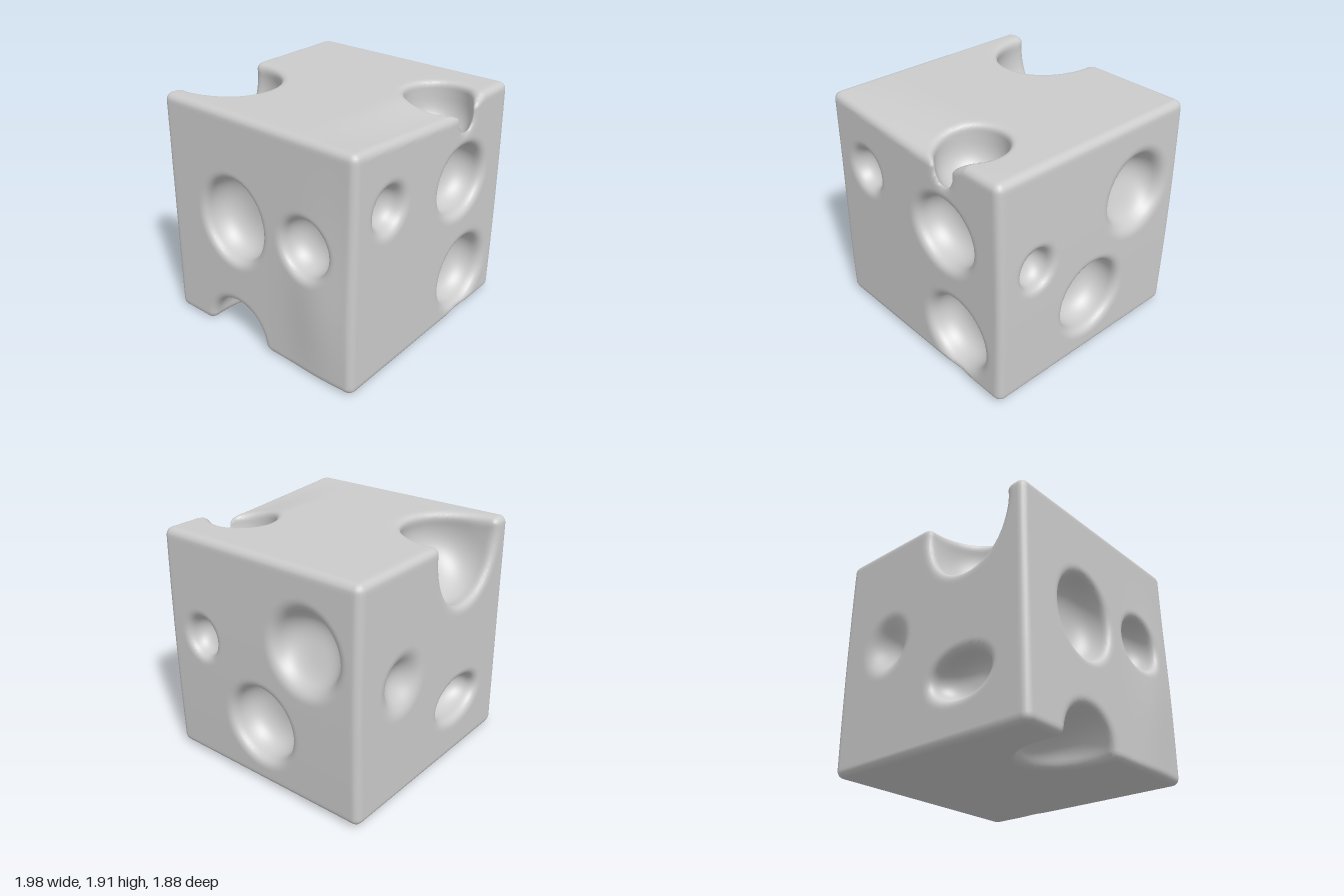
import * as THREE from 'three';

// Directions the flat floors of the holes face
const FRONT = new THREE.Vector3(0, 0, 1);
const BACK = new THREE.Vector3(0, 0, -1);
const SIDE = new THREE.Vector3(1, 0, 0);
const UP = new THREE.Vector3(0, 1, 0);
const SIDE_UP = new THREE.Vector3(0.92, 0.39, 0).normalize();
const BACK_UP = new THREE.Vector3(0, 1, -1).normalize();
const LEFT_DOWN = new THREE.Vector3(-1, -1, 0).normalize();

// Holes: centre x, y, z, radii x, y, z, softness of the rim, floor direction, flatness (2 = round)
const HOLES = [
  // front face
  [-0.55, 1.385, 0.945, 0.165, 0.17, 0.17, 0.08, FRONT, 2.4],
  [0.38, 1.265, 0.92, 0.305, 0.28, 0.26, 0.08, FRONT, 2.8],
  [0.48, 0.395, 0.945, 0.31, 0.31, 0.27, 0.09, FRONT, 2.9],
  // right face (+x)
  [0.965, 1.105, 0.58, 0.16, 0.155, 0.145, 0.07, SIDE_UP, 2.5],
  [0.96, 0.54, -0.01, 0.27, 0.31, 0.3, 0.08, SIDE, 2.8],
  [1.09, 1.33, -0.46, 0.315, 0.315, 0.305, 0.08, SIDE_UP, 3],
  // left face (-x)
  [-0.92, 1.045, -0.24, 0.26, 0.345, 0.305, 0.07, SIDE, 2.6],
  [-0.93, 1.085, 0.49, 0.21, 0.225, 0.22, 0.07, SIDE, 2.4],
  // left bottom edge notch
  [-0.84, 0.02, -0.24, 0.45, 0.28, 0.3, 0.08, LEFT_DOWN, 2.6],
  // back face
  [0.46, 1.0, -0.98, 0.17, 0.18, 0.17, 0.12, BACK, 2],
  [-0.34, 0.515, -0.92, 0.285, 0.175, 0.22, 0.08, BACK, 2.6],
  // top hole breaking through the front edge
  [0.4, 1.81, 0.661, 0.262, 0.265, 0.264, 0.06, UP, 2.7],
  // big scoop at the back top edge
  [-0.37, 1.765, -0.795, 0.4, 0.395, 0.39, 0.09, BACK_UP, 2.8],
];

const smooth = THREE.MathUtils.smoothstep;

// Slightly uneven rounded block
function block(x, y, z) {
  const r = 0.06;
  const bulge = Math.exp(-(((z - 0.62) / 0.25) ** 2) - ((y - 0.65) / 0.6) ** 2);
  const left = -0.938 - 0.026 * (1 - y / 1.92) - 0.038 * bulge;
  const right = 0.973 + 0.014 * Math.sin(Math.PI * THREE.MathUtils.clamp(y / 1.92, 0, 1));
  const sag = 0.08 * smooth(z, 0.45, 0.95) *
    Math.max(0, Math.min((x + 0.9) / 1.05, 1, (0.63 - x) / 0.2));
  const top = 1.92 - sag;
  const bottom = 0.014 + 0.009 * x;
  const qx = Math.abs(x - (left + right) / 2) - (right - left) / 2 + r;
  const qy = Math.abs(y - (top + bottom) / 2) - (top - bottom) / 2 + r;
  const qz = Math.abs(z) - 0.938 + r;
  return Math.hypot(Math.max(qx, 0), Math.max(qy, 0), Math.max(qz, 0)) +
    Math.min(Math.max(qx, qy, qz), 0) - r;
}

// Signed distance: the block with every flat-floored hole softly carved out
function field(x, y, z) {
  let d = block(x, y, z);
  for (const [cx, cy, cz, rx, ry, rz, k, axis, power] of HOLES) {
    const px = (x - cx) / rx, py = (y - cy) / ry, pz = (z - cz) / rz;
    const length = Math.hypot(px, py, pz);
    const along = Math.abs(px * axis.x + py * axis.y + pz * axis.z);
    const across = Math.sqrt(Math.max(length * length - along * along, 0));
    const reach = (along ** power + across ** power) ** (1 / power);
    const slope = Math.hypot(px / rx, py / ry, pz / rz);
    const cut = slope < 1e-6 ? Math.min(rx, ry, rz) : -length * (reach - 1) / slope;
    const h = Math.max(k - Math.abs(d - cut), 0) / k;
    d = Math.max(d, cut) + h * h * k * 0.25;
  }
  return d;
}

function gradient(x, y, z) {
  const e = 0.004;
  return new THREE.Vector3(
    field(x + e, y, z) - field(x - e, y, z),
    field(x, y + e, z) - field(x, y - e, z),
    field(x, y, z + e) - field(x, y, z - e)
  ).divideScalar(2 * e);
}

// Skin of the field: one vertex per crossed cell, one quad per crossed grid edge
function carvedGeometry() {
  const n = 90, step = 2.12 / (n - 1);
  const origin = [-1.06, -0.1, -1.06];
  const stride = [1, n, n * n];
  const values = new Float32Array(n * n * n);
  const at = (i, axis) => origin[axis] + i * step;
  for (let k = 0; k < n; k++)
    for (let j = 0; j < n; j++)
      for (let i = 0; i < n; i++)
        values[i + j * n + k * n * n] = field(at(i, 0), at(j, 1), at(k, 2));

  const cellVertex = new Int32Array(n * n * n).fill(-1);
  const positions = [], normals = [], indices = [];
  const p = new THREE.Vector3();
  for (let k = 0; k < n - 1; k++)
    for (let j = 0; j < n - 1; j++)
      for (let i = 0; i < n - 1; i++) {
        const base = i + j * n + k * n * n;
        let count = 0;
        p.set(0, 0, 0);
        for (let a = 0; a < 3; a++) {
          const b = (a + 1) % 3, c = (a + 2) % 3;
          for (let m = 0; m < 4; m++) {
            const u = m & 1, v = m >> 1;
            const start = base + u * stride[b] + v * stride[c];
            const v0 = values[start], v1 = values[start + stride[a]];
            if ((v0 < 0) === (v1 < 0)) continue;
            const o = [0, 0, 0];
            o[a] = v0 / (v0 - v1);
            o[b] = u;
            o[c] = v;
            p.add(new THREE.Vector3(...o));
            count++;
          }
        }
        if (!count) continue;
        p.divideScalar(count);
        p.set(at(i + p.x, 0), at(j + p.y, 1), at(k + p.z, 2));
        // settle the vertex onto the surface
        const g = gradient(p.x, p.y, p.z);
        const move = -field(p.x, p.y, p.z) / Math.max(g.lengthSq(), 0.3);
        p.addScaledVector(g, THREE.MathUtils.clamp(move, -step / 2, step / 2));
        const normal = gradient(p.x, p.y, p.z).normalize();
        cellVertex[base] = positions.length / 3;
        positions.push(p.x, p.y, p.z);
        normals.push(normal.x, normal.y, normal.z);
      }

  for (let k = 1; k < n - 1; k++)
    for (let j = 1; j < n - 1; j++)
      for (let i = 1; i < n - 1; i++) {
        const base = i + j * n + k * n * n;
        for (let a = 0; a < 3; a++) {
          const inside = values[base] < 0;
          if (inside === values[base + stride[a]] < 0) continue;
          const sb = stride[(a + 1) % 3], sc = stride[(a + 2) % 3];
          const q = [base - sb - sc, base - sc, base, base - sb].map((c) => cellVertex[c]);
          if (!inside) q.reverse();
          indices.push(q[0], q[1], q[2], q[0], q[2], q[3]);
        }
      }

  const geometry = new THREE.BufferGeometry();
  geometry.setAttribute('position', new THREE.Float32BufferAttribute(positions, 3));
  geometry.setAttribute('normal', new THREE.Float32BufferAttribute(normals, 3));
  geometry.setIndex(indices);
  return geometry;
}

export function createModel() {
  const group = new THREE.Group();
  group.name = 'cheeseCube';
  const cheese = new THREE.Mesh(
    carvedGeometry(),
    new THREE.MeshStandardMaterial({ color: 0xcccccc })
  );
  cheese.name = 'cheeseBlock';
  group.add(cheese);
  return group;
}
